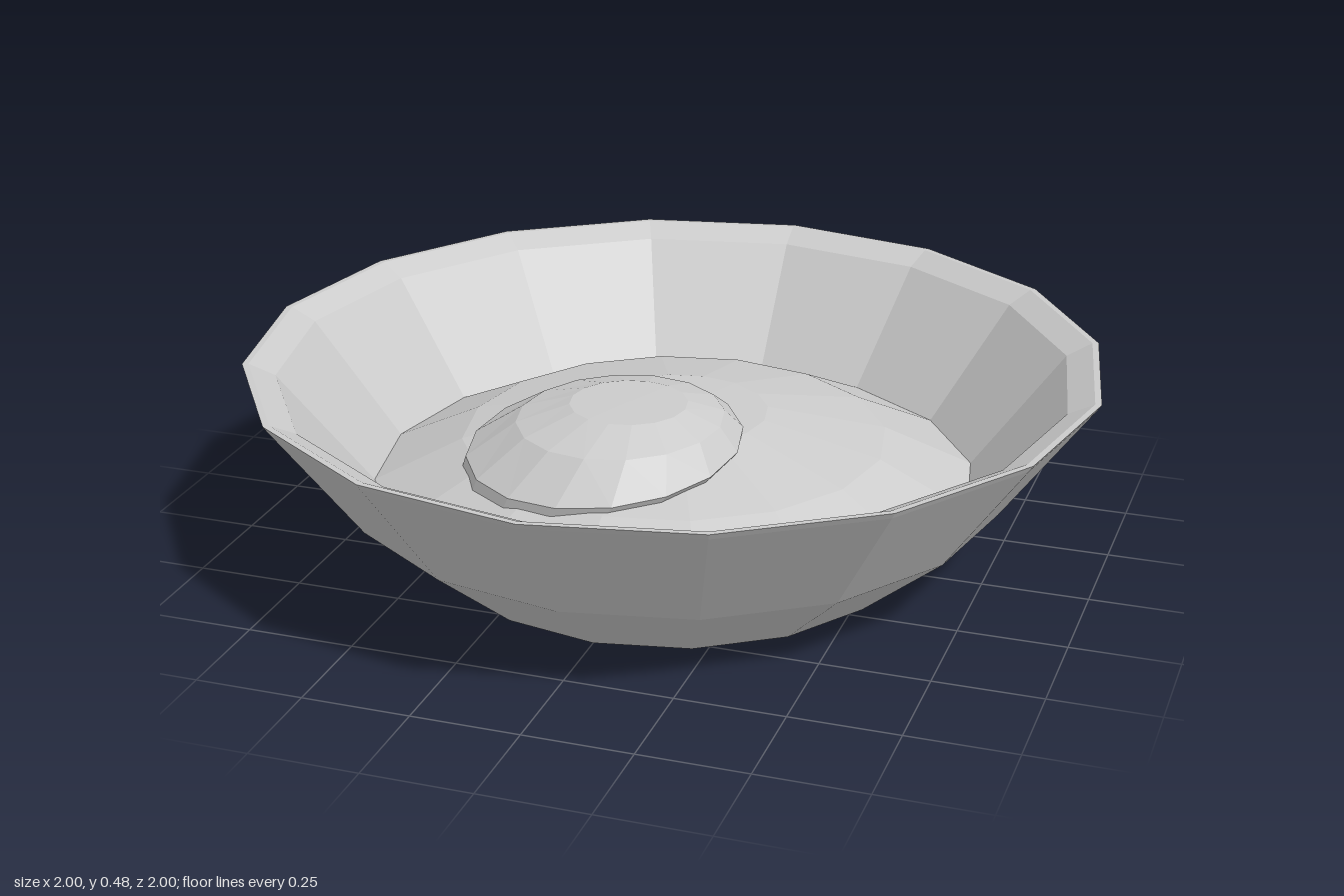
import * as THREE from 'three';

const SIDES = 16;

// Faceted turned part; profile runs from [radius, height] outside-bottom to inside-top
function turned(name, profile) {
  const points = profile.map(([r, y]) => new THREE.Vector2(r, y));
  const material = new THREE.MeshStandardMaterial({ color: 0xcccccc, flatShading: true });
  const mesh = new THREE.Mesh(new THREE.LatheGeometry(points, SIDES), material);
  mesh.name = name;
  return mesh;
}

export function createModel() {
  const model = new THREE.Group();
  model.name = 'filledBowl';

  // Bowl: flat foot, two sloped walls, bevelled rim and inner wall
  model.add(turned('bowl', [
    [0, 0], [0.565, 0], [0.78, 0.18], [0.99, 0.465], [1, 0.48],
    [0.985, 0.48], [0.925, 0.45], [0.7, 0.17],
  ]));

  // Domed filling
  model.add(turned('filling', [[0.71, 0.18], [0.5, 0.28], [0.22, 0.34], [0, 0.342]]));

  // Off-centre scoop resting in the filling, leaning and tilted toward its base
  const scoop = turned('scoop', [
    [0.3, 0.24], [0.32, 0.32], [0.24, 0.385], [0.136, 0.42], [0, 0.422],
  ]);
  const p = scoop.geometry.attributes.position;
  for (let i = 0; i < p.count; i++) {
    const x = p.getX(i), y = p.getY(i), z = p.getZ(i);
    const t = (y - 0.24) / 0.18;
    const tilt = Math.min(1, Math.max(0, 2 * (1 - t)));
    p.setXYZ(i, x - 0.15 + 0.1 * t, y + (0.05 * x - 0.1 * z) * tilt, z + 0.2 - 0.02 * t);
  }
  scoop.geometry.computeVertexNormals();
  model.add(scoop);

  return model;
}
